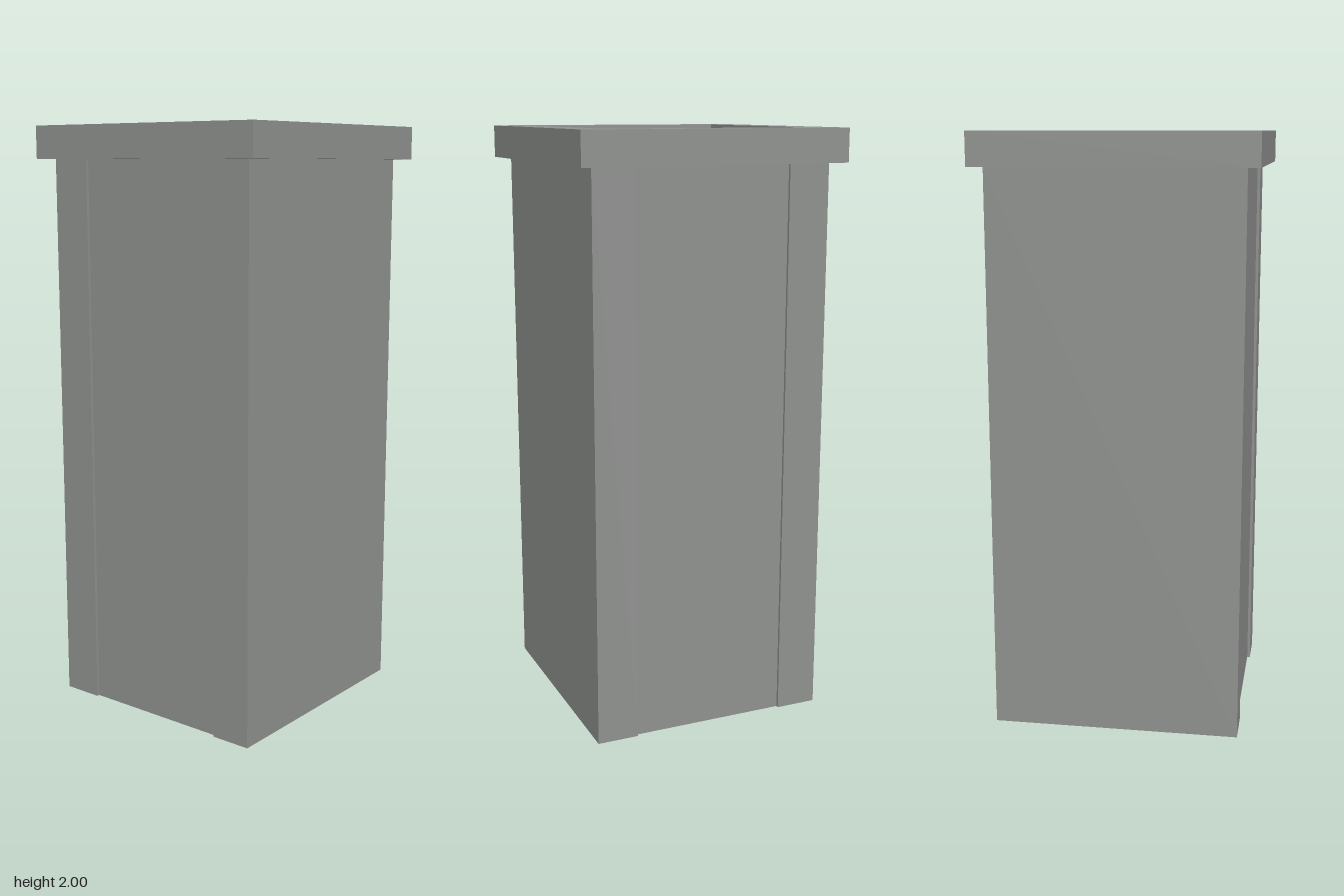
import * as THREE from 'three';

// Extrudes a plan outline with a rectangular hole upwards from y0 to y1.
function hollowPrism(name, outline, holeX, holeZ, y0, y1, material) {
  const shape = new THREE.Shape(outline.map(([x, z]) => new THREE.Vector2(x, z)));
  const hole = [[-holeX, -holeZ], [-holeX, holeZ], [holeX, holeZ], [holeX, -holeZ]];
  shape.holes.push(new THREE.Path(hole.map(([x, z]) => new THREE.Vector2(x, z))));
  const geometry = new THREE.ExtrudeGeometry(shape, { depth: y1 - y0, bevelEnabled: false });
  geometry.rotateX(-Math.PI / 2).translate(0, y0, 0);
  const mesh = new THREE.Mesh(geometry, material);
  mesh.name = name;
  return mesh;
}

export function createModel() {
  const group = new THREE.Group();
  group.name = 'hollowPillar';
  const stone = new THREE.MeshStandardMaterial({ color: 0x909290 });
  stone.name = 'grey stone';

  // Shaft: square tube with a shallow full-height recess on the front and back
  const w = 0.408, d = 0.417, r = 0.267, rz = 0.407;
  const shaft = [
    [-w, -d], [-r, -d], [-r, -rz], [r, -rz], [r, -d], [w, -d],
    [w, d], [r, d], [r, rz], [-r, rz], [-r, d], [-w, d],
  ];
  group.add(hollowPrism('shaft', shaft, r, r, 0, 1.89, stone));

  // Overhanging rim with a wider opening, leaving a ledge inside
  const cx = 0.455, cz = 0.46;
  const rim = [[-cx, -cz], [cx, -cz], [cx, cz], [-cx, cz]];
  group.add(hollowPrism('rim', rim, 0.343, 0.338, 1.89, 2, stone));

  return group;
}
